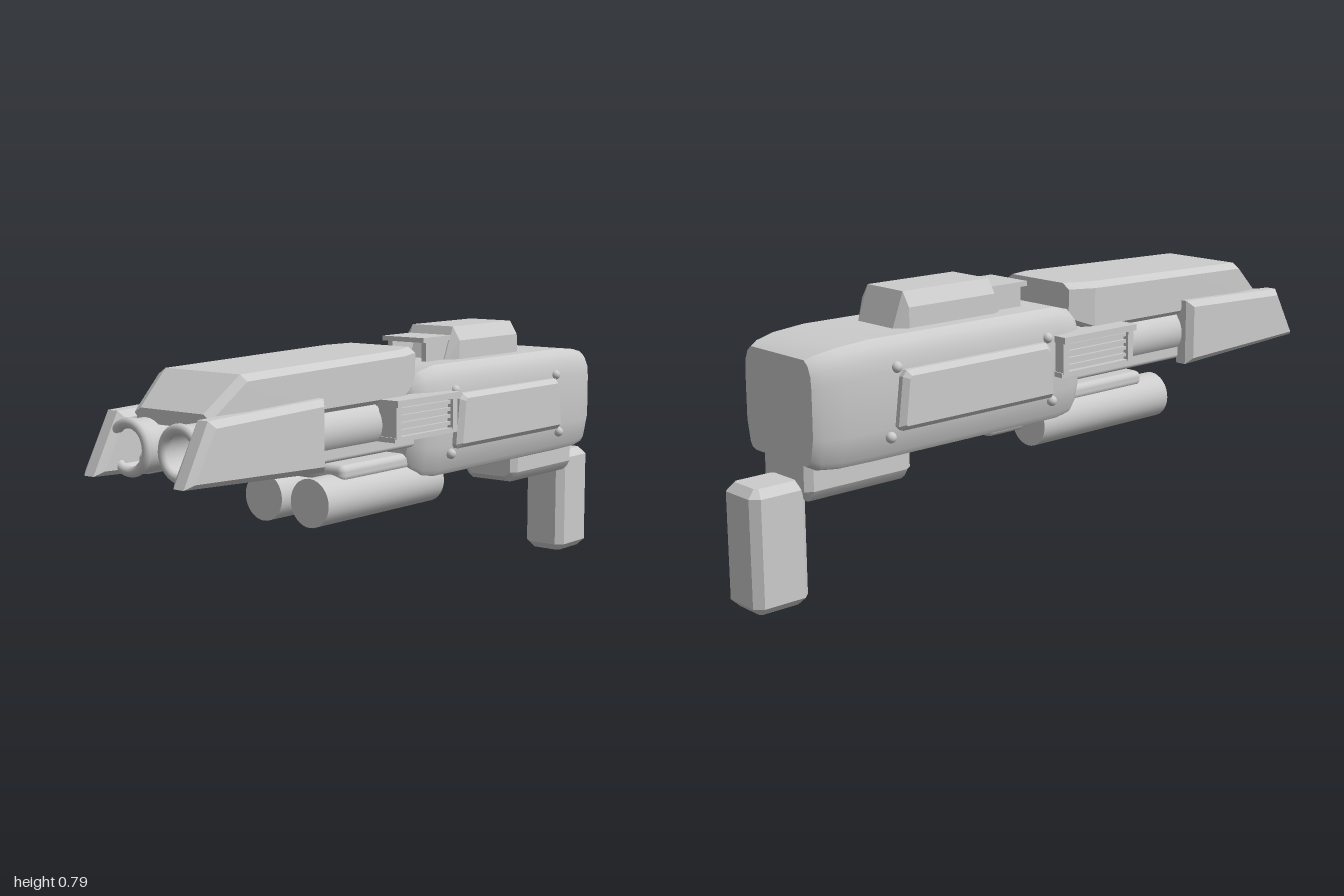
import * as THREE from 'three';
import { toCreasedNormals } from 'three/addons/utils/BufferGeometryUtils.js';
import { RoundedBoxGeometry } from 'three/addons/geometries/RoundedBoxGeometry.js';

const grey = new THREE.MeshStandardMaterial({ color: 0xcccccc, side: THREE.DoubleSide });
grey.name = 'light grey';

// Skin over cross-sections ordered by rising z; each is { z, pts } with pts counter-clockwise.
function loft(sections, crease = 0.4) {
  const n = sections[0].pts.length, last = sections.length - 1;
  const pos = [], idx = [];
  for (const { z, pts } of sections) for (const [x, y] of pts) pos.push(x, y, z);
  for (let j = 0; j < last; j++) {
    for (let i = 0; i < n; i++) {
      const k = (i + 1) % n;
      const a = j * n + i, b = j * n + k, c = b + n, d = a + n;
      idx.push(a, b, c, a, c, d);
    }
  }
  for (let i = 1; i < n - 1; i++) {
    idx.push(0, i + 1, i, last * n, last * n + i, last * n + i + 1);
  }
  const g = new THREE.BufferGeometry();
  g.setAttribute('position', new THREE.Float32BufferAttribute(pos, 3));
  g.setIndex(idx);
  return toCreasedNormals(g, crease);
}

// Mirror a right-hand half outline, listed from bottom to top, into a closed ring.
const mirrored = half => [...half, ...half.slice().reverse().map(([x, y]) => [-x, y])];

// Bevelled slab with its outline kept at full size, thickness centred on z.
function slab(points, thickness, bevel) {
  const shape = new THREE.Shape(points.map(([x, y]) => new THREE.Vector2(x, y)));
  const depth = thickness - 2 * bevel;
  return new THREE.ExtrudeGeometry(shape, {
    depth, bevelEnabled: true, bevelThickness: bevel, bevelSize: bevel,
    bevelOffset: -bevel, bevelSegments: 1,
  }).translate(0, 0, -depth / 2);
}

// Slab standing upright along the side, outline given as [z, y].
const sideSlab = (points, thickness, bevel) => slab(points, thickness, bevel).rotateY(-Math.PI / 2);

export function createModel() {
  const model = new THREE.Group();
  model.name = 'blaster';

  function add(name, geometry, x = 0, y = 0, z = 0) {
    const mesh = new THREE.Mesh(geometry, grey);
    mesh.name = name;
    mesh.position.set(x, y, z);
    model.add(mesh);
    return mesh;
  }
  const box = (name, w, h, d, x, y, z) => add(name, new THREE.BoxGeometry(w, h, d), x, y, z);
  const rounded = (name, w, h, d, r, x, y, z) =>
    add(name, new RoundedBoxGeometry(w, h, d, 3, r), x, y, z);

  // Receiver: rounded section narrowing at both ends, [z, half width, top, bottom]
  const bodySection = ([z, w, top, bottom]) => {
    const h = top - bottom;
    return { z, pts: mirrored([
      [w * 0.75, bottom], [w * 0.86, bottom + h * 0.02], [w * 0.92, bottom + h * 0.07],
      [w, bottom + h * 0.28], [w, bottom + h * 0.74],
      [w * 0.98, bottom + h * 0.86], [w * 0.91, bottom + h * 0.95], [w * 0.8, top],
    ]) };
  };
  add('receiver', loft([
    [-0.865, 0.145, 0.66, 0.385], [-0.84, 0.158, 0.67, 0.372], [-0.78, 0.17, 0.682, 0.366],
    [-0.68, 0.176, 0.69, 0.366], [-0.03, 0.176, 0.69, 0.366],
    [0.03, 0.165, 0.675, 0.372], [0.06, 0.148, 0.655, 0.39], [0.075, 0.13, 0.635, 0.41],
  ].map(bodySection), 0.6));

  // Upper barrel cover with a sloping nose, [z, half width, top, bottom]
  const coverSection = ([z, w, top, bottom]) => ({
    z, pts: mirrored([[w - 0.01, bottom], [w, bottom + 0.012], [w, top - 0.016], [w - 0.025, top]]),
  });
  add('barrelCover', loft([
    [0.04, 0.13, 0.745, 0.635], [0.12, 0.156, 0.743, 0.605],
    [0.755, 0.156, 0.728, 0.6], [0.865, 0.135, 0.638, 0.6],
  ].map(coverSection), 0.2));

  // Sight housing on the receiver, [z, base half width, top half width, top]
  add('sightHousing', loft([
    [-0.55, 0.078, 0.074, 0.69], [-0.515, 0.1, 0.074, 0.785],
    [-0.215, 0.1, 0.074, 0.785], [-0.175, 0.078, 0.074, 0.69],
  ].map(([z, w, t, top]) => ({
    z, pts: mirrored([[w, 0.66], [w, Math.min(0.745, top - 0.015)], [t, top]]),
  })), 0.2));

  // Bridge in front of the sight
  box('sightBridgeRoof', 0.15, 0.014, 0.14, 0, 0.753, -0.14);
  for (const s of [-1, 1]) box('sightBridgeLeg', 0.016, 0.08, 0.11, s * 0.062, 0.71, -0.145);

  // Hollow barrel profile, [radius, z]
  const barrelProfile = [[0, 0], [0.07, 0], [0.07, 0.92], [0.056, 0.92], [0.056, 0.82],
    [0.05, 0.79], [0.036, 0.772], [0.018, 0.763], [0, 0.76]];
  const barrel = toCreasedNormals(new THREE.LatheGeometry(
    barrelProfile.map(([r, z]) => new THREE.Vector2(r, z)), 32).rotateX(Math.PI / 2), 0.6);
  const rim = new THREE.TorusGeometry(0.062, 0.014, 12, 32);
  const underTube = new THREE.CylinderGeometry(0.067, 0.067, 0.515, 32).rotateX(Math.PI / 2);
  const bolt = new THREE.SphereGeometry(0.015, 14, 10);

  const finOutline = [[0.49, 0.452], [1, 0.475], [0.915, 0.632], [0.49, 0.646]];
  const panelOutline = [[-0.615, 0.448], [-0.085, 0.448], [-0.076, 0.46],
    [-0.092, 0.59], [-0.105, 0.606], [-0.6, 0.606], [-0.612, 0.59], [-0.628, 0.46]];

  for (const s of [-1, 1]) {
    add('barrel', barrel, s * 0.09, 0.545, 0);
    add('barrelRim', rim, s * 0.09, 0.545, 0.922);
    rounded('barrelRail', 0.045, 0.056, 0.86, 0.012, s * 0.122, 0.493, 0.43);
    add('muzzleFin', sideSlab(finOutline, 0.07, 0.018), s * 0.158, 0, 0);
    add('underTube', underTube, s * 0.083, 0.352, 0.185);
    add('sidePanel', sideSlab(panelOutline, 0.08, 0.014), s * 0.164, 0, 0);

    // Cooling vent: frame with horizontal slats
    box('ventBack', 0.06, 0.1, 0.27, s * 0.16, 0.565, 0.085);
    box('ventFrameTop', 0.075, 0.018, 0.29, s * 0.179, 0.608, 0.085);
    box('ventFrameBottom', 0.06, 0.014, 0.29, s * 0.176, 0.508, 0.085);
    for (const z of [0.215, -0.045]) box('ventFrameEnd', 0.06, 0.1, 0.022, s * 0.178, 0.56, z);
    for (let i = 0; i < 4; i++) {
      box('ventSlat', 0.04, 0.01, 0.25, s * 0.18, 0.528 + i * 0.02, 0.085);
    }

    for (const [y, z] of [[0.615, -0.088], [0.615, -0.62], [0.433, -0.07], [0.433, -0.643]]) {
      add('bolt', bolt, s * 0.176, y, z);
    }
  }

  // Underside mounts
  rounded('tubeMount', 0.25, 0.046, 0.36, 0.018, 0, 0.422, 0.175);
  rounded('tubeBracket', 0.12, 0.08, 0.4, 0.02, 0, 0.365, -0.005);

  // Block under the rear of the receiver, narrower at the bottom
  const blockSection = (z, bottom, w) => ({ z, pts: mirrored([
    [w * 0.72, bottom], [w * 0.88, bottom + 0.012], [w, 0.31], [w, 0.39],
  ]) });
  add('gripBlock', loft([
    blockSection(-0.855, 0.3, 0.085), blockSection(-0.835, 0.278, 0.1),
    blockSection(-0.53, 0.278, 0.1), blockSection(-0.51, 0.295, 0.085),
  ]));

  // Rear grip: eight-sided post with chamfered ends
  const w = 0.073, d = 0.085, c = 0.022;
  const gripOutline = [[w - c, -d], [w, c - d], [w, d - c], [w - c, d],
    [c - w, d], [-w, d - c], [-w, c - d], [c - w, -d]];
  add('rearGrip', slab(gripOutline, 0.335, 0.022).rotateX(-Math.PI / 2), 0, 0.1675, -0.915);

  return model;
}
